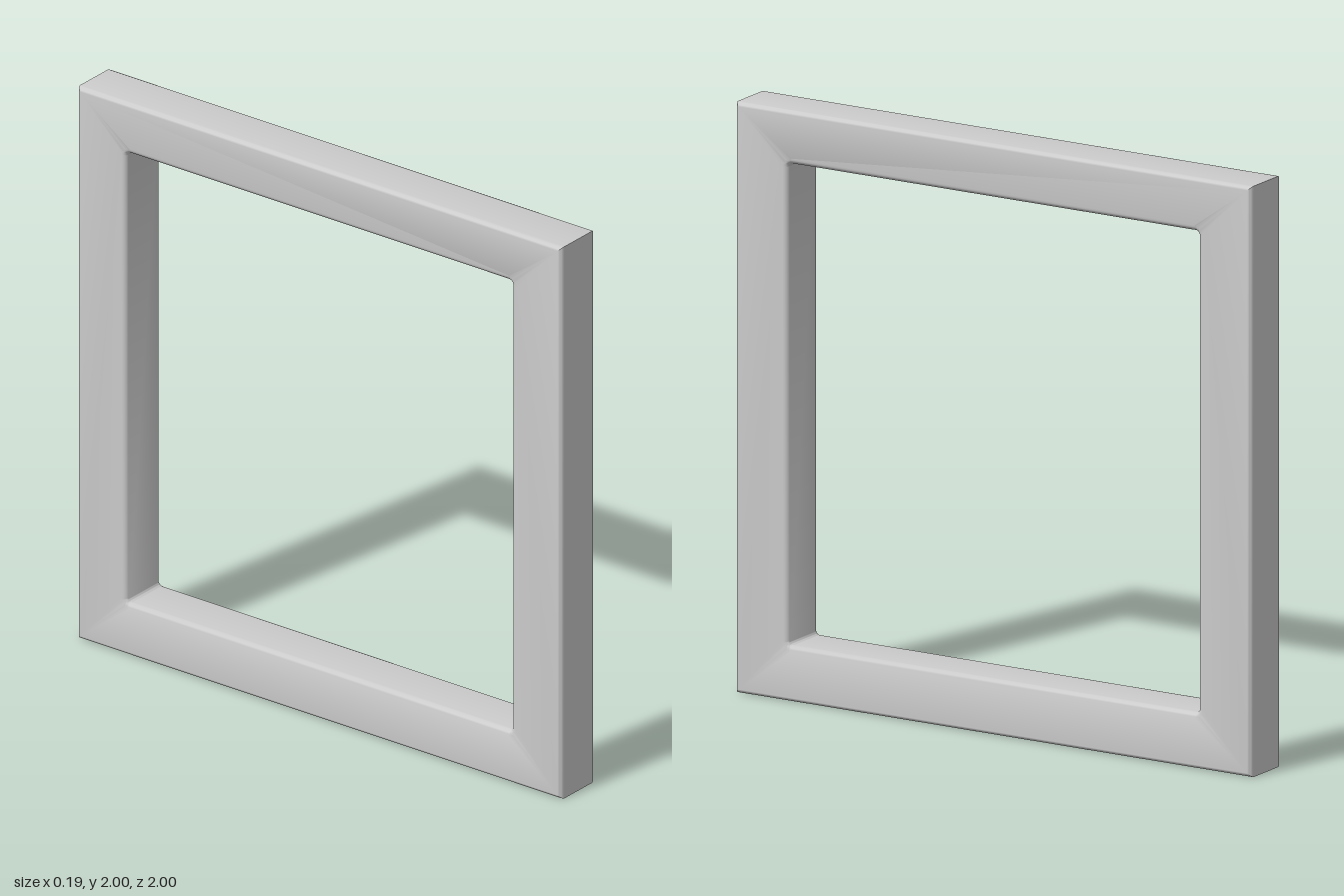
import * as THREE from 'three';
import { toCreasedNormals } from 'three/addons/utils/BufferGeometryUtils.js';

const THICKNESS = 0.186;
const BEVEL = 0.02;

// Rectangle outline centred on x, with optional rounded corners
function outline(path, halfWidth, bottom, top, r) {
  const w = halfWidth;
  path.moveTo(-w + r, bottom).lineTo(w - r, bottom);
  if (r) path.absarc(w - r, bottom + r, r, -Math.PI / 2, 0);
  path.lineTo(w, top - r);
  if (r) path.absarc(w - r, top - r, r, 0, Math.PI / 2);
  path.lineTo(-w + r, top);
  if (r) path.absarc(-w + r, top - r, r, Math.PI / 2, Math.PI);
  path.lineTo(-w, bottom + r);
  if (r) path.absarc(-w + r, bottom + r, r, Math.PI, Math.PI * 1.5);
  path.closePath();
  return path;
}

export function createModel() {
  const group = new THREE.Group();
  group.name = 'squareFrame';

  // Square outside with a slightly taller than wide opening
  const shape = outline(new THREE.Shape(), 1, 0, 2, 0);
  shape.holes.push(outline(new THREE.Path(), 0.795, 0.19, 1.82, 0.015));

  // Softly bevelled along every edge
  const geometry = new THREE.ExtrudeGeometry(shape, {
    depth: THICKNESS - 2 * BEVEL,
    bevelThickness: BEVEL,
    bevelSize: BEVEL,
    bevelOffset: -BEVEL,
    bevelSegments: 5,
    curveSegments: 5,
  });
  geometry.translate(0, 0, BEVEL - THICKNESS / 2);
  geometry.rotateY(Math.PI / 2);

  const frame = new THREE.Mesh(
    toCreasedNormals(geometry, 0.7),
    new THREE.MeshStandardMaterial({ color: 0xcccccc })
  );
  frame.name = 'frame';
  group.add(frame);
  return group;
}
